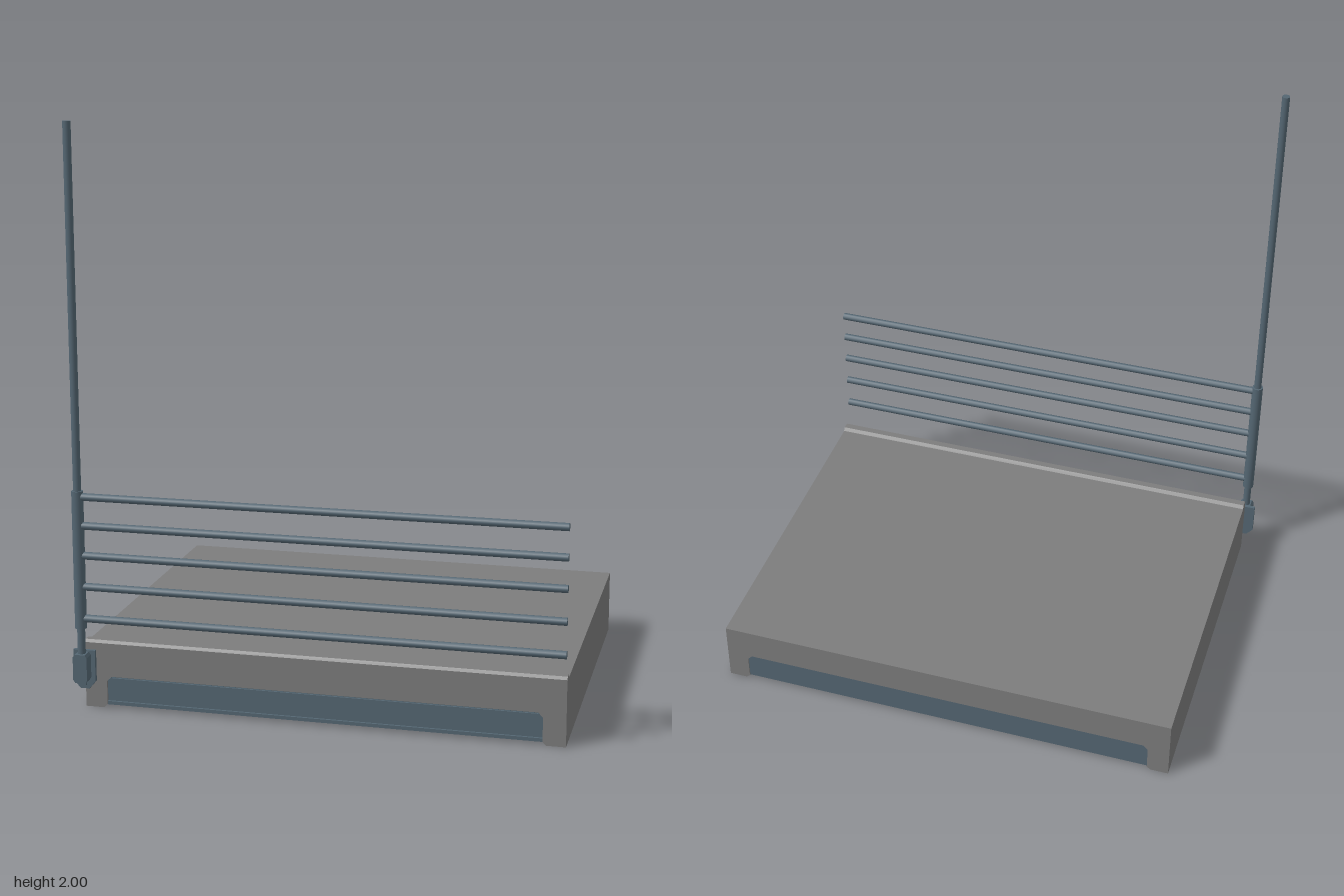
import * as THREE from 'three';

export function createModel() {
  const model = new THREE.Group();
  const concrete = new THREE.MeshStandardMaterial({ color: 0x7c7c7c });
  concrete.name = 'concrete grey';
  const steel = new THREE.MeshStandardMaterial({ color: 0x546672 });
  steel.name = 'blue grey steel';

  const add = (name, geometry, material, x = 0, y = 0, z = 0) => {
    const mesh = new THREE.Mesh(geometry, material);
    mesh.name = name;
    mesh.position.set(x, y, z);
    model.add(mesh);
    return mesh;
  };
  const extrude = (points, depth) => new THREE.ExtrudeGeometry(
    new THREE.Shape(points.map(([x, y]) => new THREE.Vector2(x, y))),
    { depth, bevelEnabled: false });

  const left = -0.81, right = 0.845, back = -0.65, front = 0.597;

  // Slab with a wide shallow opening underneath, running front to back
  add('slab', extrude([
    [left, 0], [-0.745, 0], [-0.733, 0.012], [-0.733, 0.095], [-0.717, 0.112],
    [0.752, 0.112], [0.768, 0.095], [0.768, 0.012], [0.78, 0],
    [right, 0], [right, 0.226], [left, 0.226],
  ], front - back), concrete, 0, 0, back);

  // Raised kerb along the front edge, profile drawn in z and y
  const kerb = add('kerb', extrude([
    [-0.597, 0.222], [-0.55, 0.222], [-0.553, 0.228], [-0.563, 0.239],
    [-0.588, 0.239], [-0.597, 0.23],
  ], right - left), concrete, left);
  kerb.rotation.y = Math.PI / 2;

  // Steel tray filling the opening, with a lip along its lower front edge
  add('underTray', extrude([
    [-0.733, 0.012], [0.768, 0.012], [0.768, 0.095], [0.752, 0.11],
    [-0.717, 0.11], [-0.733, 0.095],
  ], front - back - 0.012), steel, 0, 0, back + 0.004);
  add('trayLip', new THREE.BoxGeometry(1.5, 0.012, 0.01), steel, 0.0175, 0.018, front - 0.005);
  add('trayTopLip', new THREE.BoxGeometry(1.47, 0.014, 0.008), steel, 0.0175, 0.1, front - 0.005);

  // Railing post: thin full-height tube with a thicker sleeve
  const postX = -0.81, postZ = 0.627;
  const tube = (name, radius, from, to) => add(name,
    new THREE.CylinderGeometry(radius, radius, to - from, 16), steel, postX, (from + to) / 2, postZ);
  tube('post', 0.0135, 0.15, 2);
  tube('postSleeve', 0.02, 0.29, 0.77);

  // Horizontal rails
  for (const y of [0.75, 0.65, 0.546, 0.437, 0.325]) {
    const rail = add('rail', new THREE.CylinderGeometry(0.0135, 0.0135, right - postX, 12),
      steel, (right + postX) / 2, y, postZ);
    rail.rotation.z = Math.PI / 2;
  }

  // Fixing plate with clipped lower corners, socket and bolt
  add('fixingPlate', extrude([
    [-0.848, 0.205], [-0.848, 0.095], [-0.825, 0.068], [-0.793, 0.068],
    [-0.77, 0.095], [-0.77, 0.205],
  ], 0.012), steel, 0, 0, front);
  add('socket', extrude([
    [-0.835, 0.19], [-0.835, 0.11], [-0.828, 0.1], [-0.792, 0.1],
    [-0.785, 0.11], [-0.785, 0.19], [-0.792, 0.2], [-0.828, 0.2],
  ], 0.042), steel, 0, 0, 0.608);
  const bolt = add('bolt', new THREE.CylinderGeometry(0.009, 0.009, 0.008, 6), steel, postX, 0.084, 0.611);
  bolt.rotation.x = Math.PI / 2;

  return model;
}
